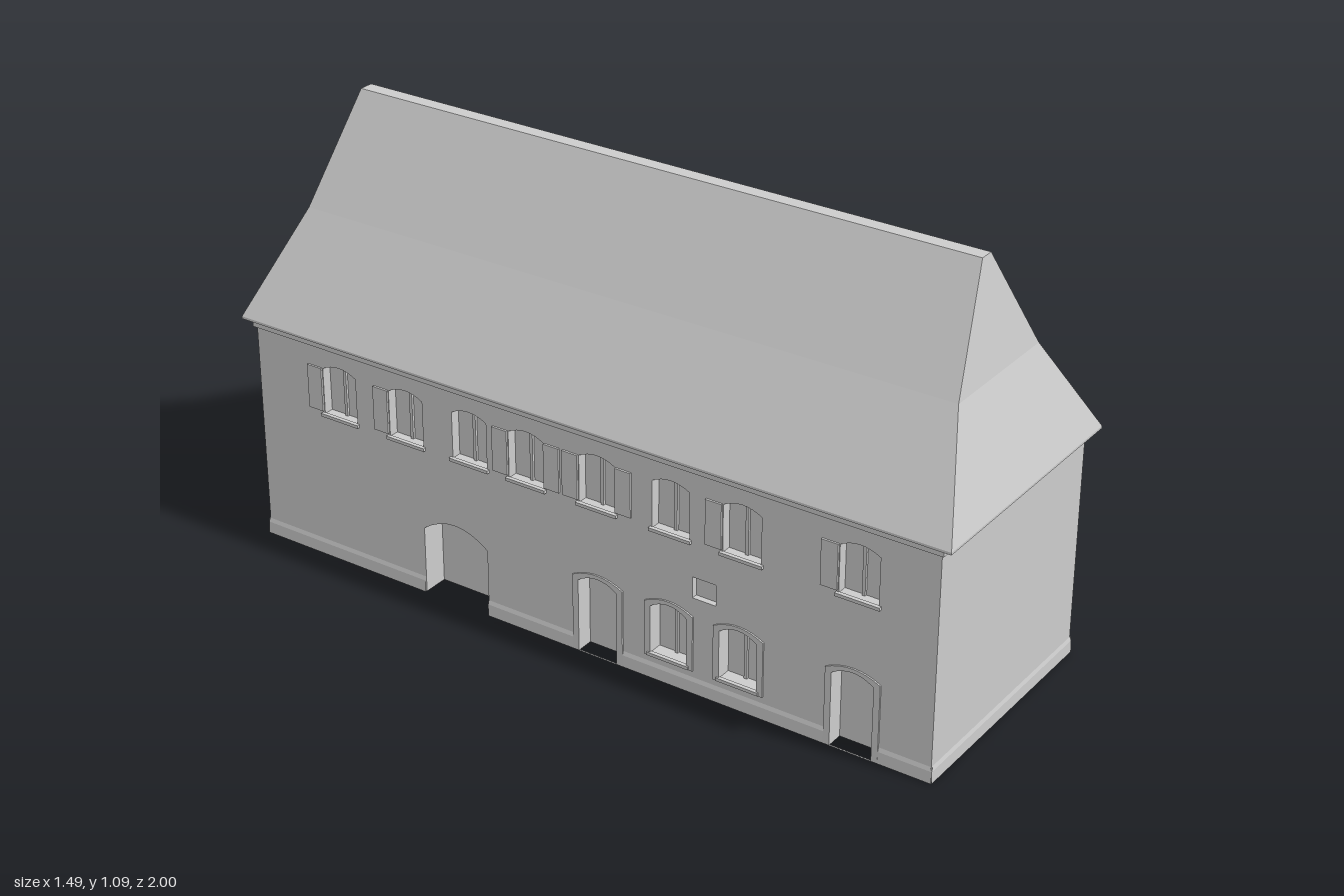
import * as THREE from 'three';

const L = 0.925, W = 0.313, WALL_TOP = 0.57;
const stone = new THREE.MeshStandardMaterial({ color: 0xcccccc, side: THREE.DoubleSide });
stone.name = 'pale grey';

function add(parent, name, geometry, x = 0, y = 0, z = 0) {
  const mesh = new THREE.Mesh(geometry, stone);
  mesh.name = name;
  mesh.position.set(x, y, z);
  parent.add(mesh);
  return mesh;
}

const box = (w, h, d) => new THREE.BoxGeometry(w, h, d);

// outline of an opening: up the left jamb, over a shallow arch, down the right jamb
function outline({ x, w, y0, y1, rise }, grow = 0) {
  const half = w / 2 + grow, bottom = y0 > 0 ? y0 - grow / 2 : y0;
  const spring = y1 - rise + grow * 0.6, n = rise > 0 ? 8 : 1;
  const pts = [new THREE.Vector2(x - half, bottom)];
  for (let i = 0; i <= n; i++) {
    const t = (2 * i) / n - 1;
    pts.push(new THREE.Vector2(x + t * half, spring + rise * (1 - t * t)));
  }
  pts.push(new THREE.Vector2(x + half, bottom));
  return pts;
}

// quads joining consecutive loops of 3D points
function skin(loops, closed) {
  const pos = [];
  for (let k = 0; k < loops.length - 1; k++) {
    const a = loops[k], b = loops[k + 1], n = a.length;
    for (let i = 0; i < (closed ? n : n - 1); i++) {
      const j = (i + 1) % n;
      for (const p of [a[i], a[j], b[j], a[i], b[j], b[i]]) pos.push(...p);
    }
  }
  const g = new THREE.BufferGeometry();
  g.setAttribute('position', new THREE.Float32BufferAttribute(pos, 3));
  g.computeVertexNormals();
  return g;
}

// recessed opening with its reveal, back panel and trimmings
function opening(parent, o) {
  const pts = outline(o), h = o.y1 - o.y0, kind = o.kind;
  const back = pts.map(p => [p.x, p.y, -o.depth]);
  const front = pts.map(p => [p.x, p.y, 0]);
  add(parent, kind + 'Reveal', skin([front, back], o.y0 > 0));
  add(parent, kind + 'Panel', new THREE.ShapeGeometry(new THREE.Shape(pts)), 0, 0, -o.depth);
  if (kind === 'window') {
    add(parent, 'mullion', box(0.008, h - o.rise * 0.2, 0.006), o.x, o.y0 + h / 2 - o.rise * 0.1, 0.003 - o.depth);
    add(parent, 'sill', box(o.w + 0.012, 0.008, 0.01), o.x, o.y0 - 0.002, 0.003);
  }
  if (o.surround) {
    const frame = new THREE.Shape(outline(o, 0.016));
    frame.holes.push(new THREE.Path(pts));
    add(parent, kind + 'Surround', new THREE.ExtrudeGeometry(frame, { depth: 0.004, bevelEnabled: false }));
  }
  for (const s of o.shutters || []) {
    add(parent, 'shutter', box(0.042, h - 0.02, 0.005), o.x + s * (o.w / 2 + 0.023), o.y0 + h / 2 - 0.003, 0.0025);
  }
}

// one wall with its openings and a plinth broken at the doors
function wall(parent, name, width, distance, angle, openings) {
  const g = new THREE.Group();
  g.name = name;
  g.rotation.y = angle;
  g.position.set(Math.sin(angle) * distance, 0, Math.cos(angle) * distance);
  parent.add(g);

  const half = width / 2;
  const doors = openings.filter(o => o.y0 === 0).sort((a, b) => a.x - b.x);
  const pts = [new THREE.Vector2(-half, 0)];
  for (const d of doors) pts.push(...outline(d));
  pts.push(new THREE.Vector2(half, 0), new THREE.Vector2(half, WALL_TOP), new THREE.Vector2(-half, WALL_TOP));
  const shape = new THREE.Shape(pts);
  for (const o of openings) if (o.y0 > 0) shape.holes.push(new THREE.Path(outline(o)));
  add(g, 'wallFace', new THREE.ShapeGeometry(shape));

  let start = -half - 0.003;
  for (const d of [...doors, { x: half + 0.003, w: 0 }]) {
    const end = d.x - d.w / 2 - (d.surround ? 0.016 : 0);
    // sloping plinth strip
    const rows = [[0, 0.004], [0.03, 0.003], [0.04, 0]];
    add(g, 'plinth', skin(rows.map(([y, z]) => [[start, y, z], [end, y, z]]), false));
    start = d.x + d.w / 2 + (d.surround ? 0.016 : 0);
  }
  openings.forEach(o => opening(g, o));
}

const win = (x, y0, y1, shutters) =>
  ({ kind: 'window', x, w: 0.098, y0, y1, rise: 0.014, depth: 0.025, shutters });

export function createModel() {
  const model = new THREE.Group();
  model.name = 'house';
  const house = new THREE.Group();
  house.name = 'building';
  house.rotation.y = -1.079;
  model.add(house);

  const R = [1], Lf = [-1], both = [-1, 1], none = [];
  const UP = [0.387, 0.519], LOW = [0.154, 0.276];

  // entrance wall: upper windows, doors, arched gateway and niche
  const entranceX = [-0.678, -0.481, -0.297, -0.136, 0.059, 0.256, 0.441, 0.733];
  const entranceShutters = [Lf, Lf, none, both, both, none, Lf, Lf];
  const door = x => ({ kind: 'door', x, w: 0.105, y0: 0, y1: 0.205, rise: 0.018, depth: 0.04, surround: true });
  const lowWindow = x => ({ ...win(x, 0.065, 0.205), rise: 0.018, depth: 0.035, surround: true });
  wall(house, 'entranceWall', 2 * L, W, 0, [
    ...entranceX.map((x, i) => win(x, ...UP, entranceShutters[i])),
    { kind: 'gateway', x: -0.347, w: 0.185, y0: 0, y1: 0.207, rise: 0.035, depth: 0.065 },
    door(0.059), door(0.727), lowWindow(0.252), lowWindow(0.436),
    { kind: 'niche', x: 0.345, w: 0.062, y0: 0.245, y1: 0.298, rise: 0, depth: 0.015 },
  ]);

  // garden wall: two rows of eight windows
  const gardenX = [-0.737, -0.452, -0.263, -0.075, 0.119, 0.283, 0.478, 0.678];
  const gardenUp = [R, R, none, both, both, none, R, R];
  const gardenLow = [none, both, none, none, both, none, R, R];
  wall(house, 'gardenWall', 2 * L, W, Math.PI, [
    ...gardenX.map((x, i) => win(x, ...UP, gardenUp[i])),
    ...gardenX.map((x, i) => win(x, ...LOW, gardenLow[i])),
  ]);

  // end walls, one plain and one with four windows
  wall(house, 'plainEndWall', 2 * W, L, Math.PI / 2, []);
  const endWindows = [];
  for (const x of [-0.157, 0.157]) for (const row of [UP, LOW]) endWindows.push(win(x, ...row));
  wall(house, 'windowEndWall', 2 * W, L, -Math.PI / 2, endWindows);

  // eaves band
  add(house, 'cornice', box(1.864, 0.02, 0.64), 0, 0.57, 0);

  // hipped roof from rectangular sections: underside, eaves, kink, ridge, cap
  const sections = [[0, 0, 0.578], [0.955, 0.331, 0.578], [0.955, 0.331, 0.584],
    [0.868, 0.172, 0.828], [0.823, 0.018, 1.085], [0, 0, 1.085]];
  const corners = [[-1, 1], [1, 1], [1, -1], [-1, -1]];
  add(house, 'roof', skin(sections.map(([a, b, y]) => corners.map(([sx, sz]) => [sx * a, y, sz * b])), true));

  return model;
}
